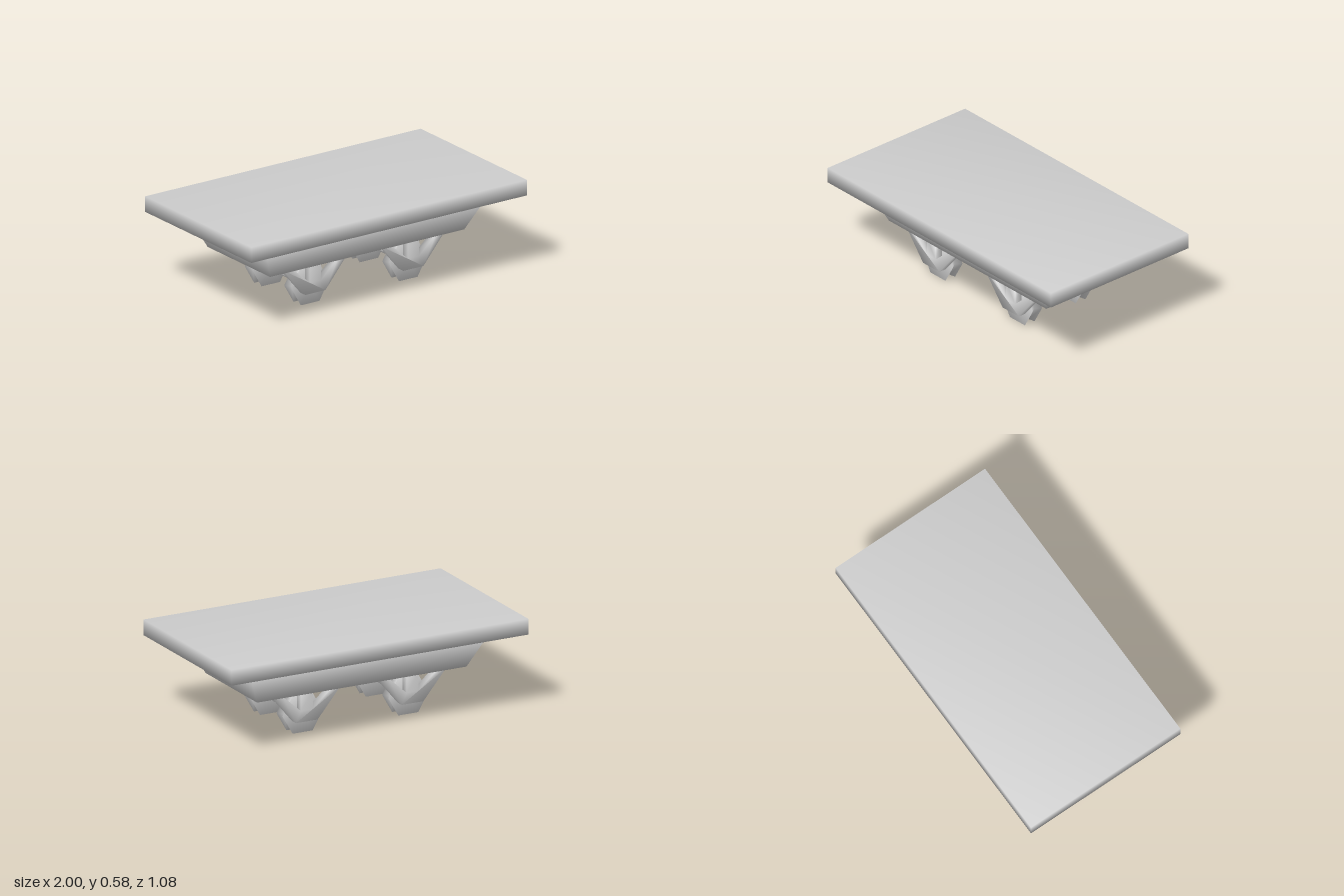
import * as THREE from 'three';
import { mergeVertices } from 'three/addons/utils/BufferGeometryUtils.js';

// Weld all corners so the shading runs smoothly over every edge
function smooth(geometry) {
  geometry.deleteAttribute('normal');
  geometry.deleteAttribute('uv');
  geometry.clearGroups();
  const welded = mergeVertices(geometry, 1e-4);
  welded.computeVertexNormals();
  return welded;
}

// Trapezoid body: a box whose lower corners are drawn in
function taperedBox(topX, topZ, bottomX, bottomZ, height) {
  const g = new THREE.BoxGeometry(topX, height, topZ);
  const p = g.attributes.position;
  for (let i = 0; i < p.count; i++) {
    if (p.getY(i) < 0) {
      p.setX(i, Math.sign(p.getX(i)) * bottomX / 2);
      p.setZ(i, Math.sign(p.getZ(i)) * bottomZ / 2);
    }
  }
  return g;
}

// Six-sided wheel with a V groove, axis along z
function wheelGeometry() {
  const w = 0.0375, rim = 0.135, groove = 0.107;
  const profile = [[0, -w], [rim, -w], [groove, 0], [rim, w], [0, w]]
    .map(([x, y]) => new THREE.Vector2(x, y));
  return new THREE.LatheGeometry(profile, 6, Math.PI / 2).rotateX(Math.PI / 2);
}

// Three-pronged hanger plate: two slanted arms and a middle post
function hangerGeometry() {
  const half = [[0.073, 0.085], [0.225, 0.267], [0.165, 0.267], [0.04, 0.155], [0.04, 0.267]];
  const mirrored = half.map(([x, y]) => [-x, y]).reverse();
  const shape = new THREE.Shape([...half, ...mirrored].map(([x, y]) => new THREE.Vector2(x, y)));
  return new THREE.ExtrudeGeometry(shape, { depth: 0.05, bevelEnabled: false })
    .translate(0, 0, -0.025);
}

export function createModel() {
  const model = new THREE.Group();
  model.name = 'cart';
  const grey = new THREE.MeshStandardMaterial({ color: 0xcccccc });
  grey.name = 'light grey';

  function add(parent, name, geometry, x, y, z) {
    const mesh = new THREE.Mesh(geometry, grey);
    mesh.name = name;
    mesh.position.set(x, y, z);
    parent.add(mesh);
  }

  // Deck and the body below it
  add(model, 'deck', smooth(new THREE.BoxGeometry(2, 0.098, 1.08)), 0, 0.531, 0);
  add(model, 'body', smooth(taperedBox(1.61, 0.83, 1.41, 0.635, 0.217)), 0, 0.3735, 0);

  // Two wheel sets, each with an axle, two wheels and two hangers
  const wheel = smooth(wheelGeometry());
  const hanger = smooth(hangerGeometry());
  const axle = smooth(new THREE.CylinderGeometry(0.025, 0.025, 0.36, 8).rotateX(Math.PI / 2));
  for (const side of [-1, 1]) {
    const set = new THREE.Group();
    set.name = side < 0 ? 'rightWheelSet' : 'leftWheelSet';
    set.position.x = side * 0.357;
    if (side > 0) set.position.x = 0.355;
    add(set, 'axle', axle, 0, 0.121, 0);
    for (const end of [-1, 1]) {
      const label = end < 0 ? 'back' : 'front';
      add(set, label + 'Wheel', wheel, 0, 0.12, end * 0.2);
      add(set, label + 'Hanger', hanger, 0, 0, end * 0.265);
    }
    model.add(set);
  }
  return model;
}
